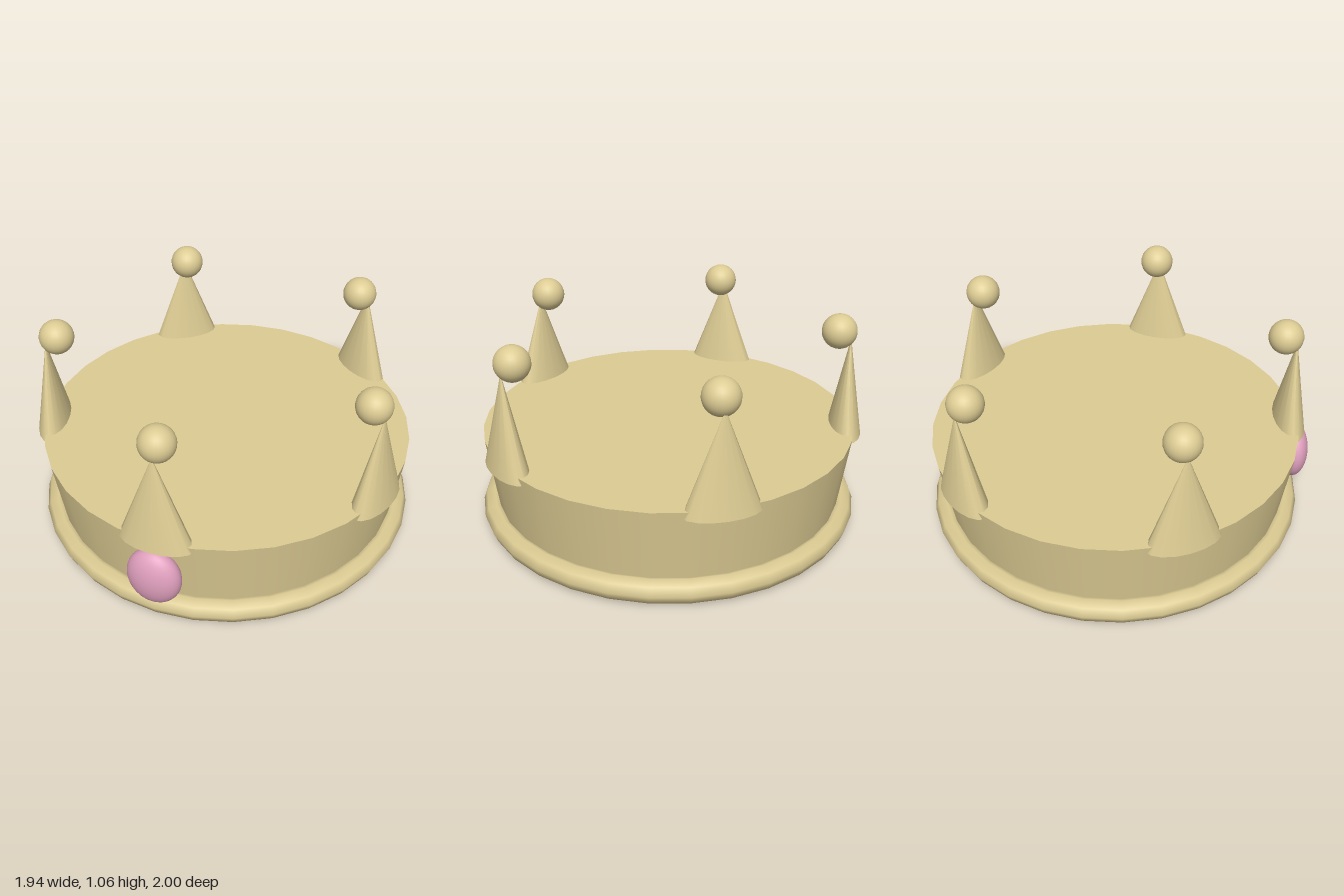
import * as THREE from 'three';

export function createModel() {
  const gold = new THREE.MeshStandardMaterial({ color: 0xdccb93 });
  gold.name = 'pale gold';
  const pink = new THREE.MeshStandardMaterial({ color: 0xdf9fbd });
  pink.name = 'rose pink';

  const crown = new THREE.Group();
  crown.name = 'crown';
  const body = new THREE.Group();
  body.name = 'crownBody';
  body.position.z = -0.025;
  crown.add(body);

  function add(parent, name, geometry, material, x, y, z) {
    const mesh = new THREE.Mesh(geometry, material);
    mesh.name = name;
    mesh.position.set(x, y, z);
    parent.add(mesh);
    return mesh;
  }

  // Closed band, flaring towards the top
  add(body, 'band', new THREE.CylinderGeometry(0.94, 0.882, 0.42, 32), gold, 0, 0.27, 0);

  // Rolled rim around the foot
  const rim = add(body, 'baseRim', new THREE.TorusGeometry(0.91, 0.06, 8, 32), gold, 0, 0.06, 0);
  rim.rotation.x = Math.PI / 2;

  // Five flattened points, each with a ball set slightly inwards
  const coneGeometry = new THREE.ConeGeometry(1, 0.49, 16);
  coneGeometry.scale(0.185, 1, 0.083);
  const ballGeometry = new THREE.SphereGeometry(0.087, 24, 16);
  for (let i = 0; i < 5; i++) {
    const spike = new THREE.Group();
    spike.name = 'spike' + (i + 1);
    spike.rotation.y = (i * Math.PI * 2) / 5;
    add(spike, 'point', coneGeometry, gold, 0, 0.69, 0.9);
    add(spike, 'ball', ballGeometry, gold, 0, 0.97, 0.84);
    body.add(spike);
  }

  // Oval gem on the front
  const gem = new THREE.SphereGeometry(1, 32, 20);
  gem.scale(0.135, 0.157, 0.08);
  add(crown, 'frontGem', gem, pink, 0, 0.265, 0.92);

  return crown;
}
